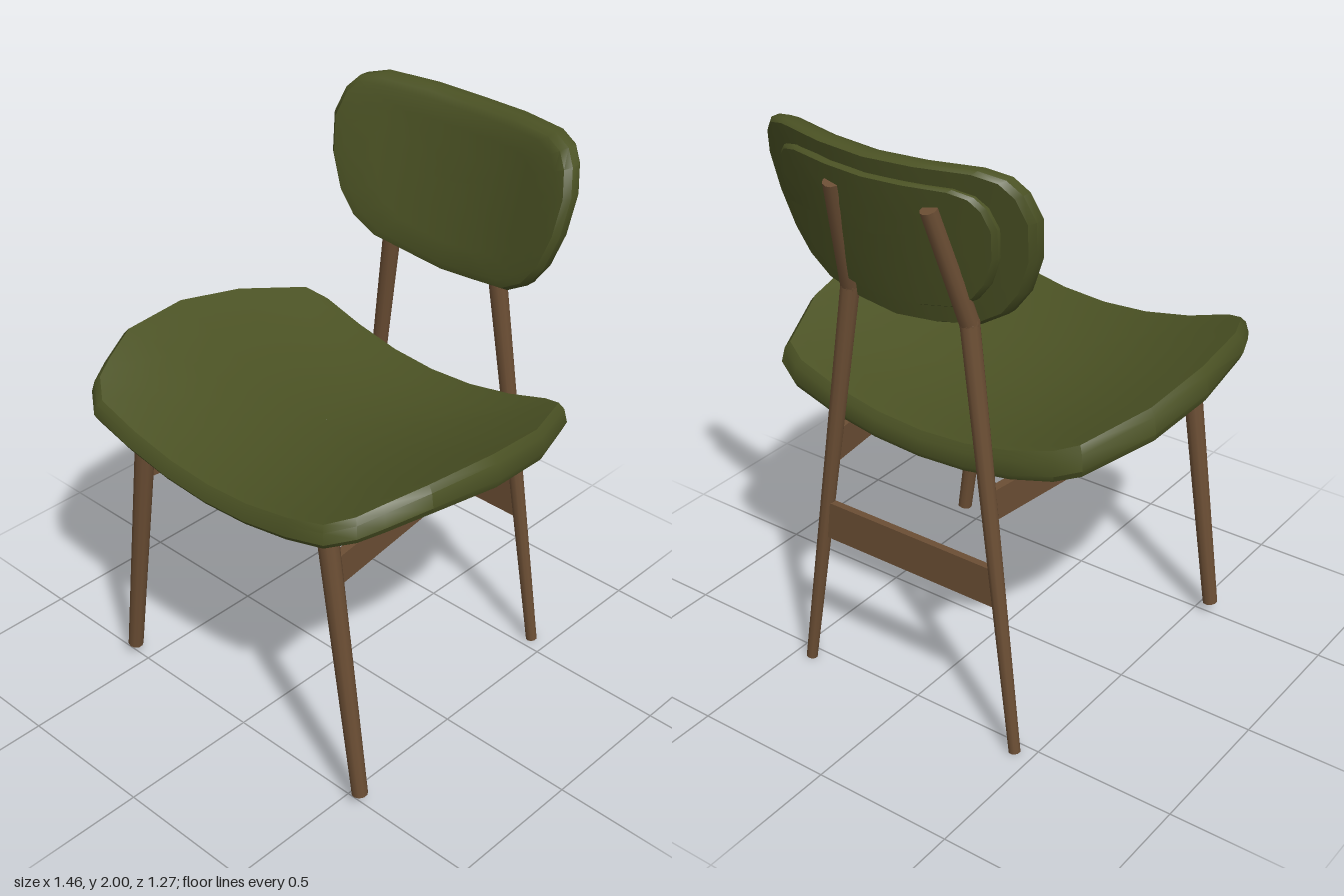
import * as THREE from 'three';
import { toCreasedNormals } from 'three/addons/utils/BufferGeometryUtils.js';

const { smoothstep, lerp } = THREE.MathUtils;
const V = (x, y, z) => new THREE.Vector3(x, y, z);

export function createModel() {
  const model = new THREE.Group();
  model.name = 'chair';
  const fabric = new THREE.MeshStandardMaterial({ color: 0x4b5224 });
  fabric.name = 'olive fabric';
  const wood = new THREE.MeshStandardMaterial({ color: 0x6b4e34 });
  wood.name = 'brown wood';

  const add = (name, geometry, material, parent = model) => {
    const mesh = new THREE.Mesh(geometry, material);
    mesh.name = name;
    parent.add(mesh);
    return mesh;
  };

  // Closed cushion: scaled copies of a mirrored outline, each at a depth t, bent by a rule
  const cushion = (half, centreB, rings, bend) => {
    const outline = [...half, ...half.slice(1, -1).reverse().map(([a, b]) => [-a, b])];
    const n = outline.length, pos = [], index = [];
    rings.forEach(([s, t], i) => {
      outline.forEach(([a, b], j) => {
        pos.push(...bend(a * s, centreB + (b - centreB) * s, t));
        if (i === rings.length - 1) return;
        const k = (j + 1) % n;
        const p = i * n + j, q = p + n, r = (i + 1) * n + k, u = i * n + k;
        index.push(p, q, r, p, r, u);
      });
    });
    const g = new THREE.BufferGeometry();
    g.setAttribute('position', new THREE.Float32BufferAttribute(pos, 3));
    g.setIndex(index);
    return toCreasedNormals(g, 0.65);
  };

  // Seat: saddle curve, rising at both sides and dipping toward the back
  const seatHalf = [[0, -0.63], [0.18, -0.63], [0.36, -0.63], [0.52, -0.63], [0.6, -0.57],
    [0.64, -0.49], [0.7, -0.35], [0.73, -0.08], [0.7, 0.18], [0.6, 0.43], [0.52, 0.465],
    [0.36, 0.47], [0.18, 0.47], [0, 0.47]];
  const seatRings = [[0.001, 0], [0.25, 0], [0.5, 0], [0.75, 0], [0.9, 0], [0.96, 0.02],
    [0.985, 0.3], [1, 0.8], [0.985, 1], [0.9, 1], [0.6, 1], [0.3, 1], [0.001, 1]];
  add('seat', cushion(seatHalf, -0.08, seatRings, (x, b, t) => {
    const z = -b;
    const top = 1.02 + 0.05 * smoothstep(z, -0.3, 0.35) - 0.015 * smoothstep(z, 0.4, 0.63) + 0.38 * x * x;
    const bottom = 0.93 + 0.06 * smoothstep(z, -0.1, 0.33) + 0.33 * x * x;
    return [x, lerp(top, bottom, t), z];
  }), fabric);

  // Backrest: wraps forward at the sides and leans back
  const backHalf = [[0, 1.425], [0.15, 1.44], [0.29, 1.465], [0.38, 1.52], [0.44, 1.6],
    [0.485, 1.72], [0.5, 1.85], [0.475, 1.935], [0.435, 1.98], [0.36, 2], [0.18, 1.995], [0, 1.99]];
  const backRings = [[0.001, 0], [0.35, 0], [0.65, 0], [0.88, 0], [0.96, 0.12], [1, 0.4],
    [1, 0.8], [0.97, 1], [0.65, 1], [0.35, 1], [0.001, 1]];
  const backBend = (front, depth) => (u, y, t) =>
    [u + 0.045, y, front - 0.24 * (y - 1.45) + 0.43 * u * u - depth * t];
  add('backrest', cushion(backHalf, 1.73, backRings, backBend(-0.415, 0.085)), fabric);
  const padHalf = backHalf.map(([u, y]) => [u * 0.81, 1.73 + (y - 1.73) * 0.77]);
  add('backrestRearPad', cushion(padHalf, 1.73, backRings, backBend(-0.46, 0.062)), fabric);

  // Tapered round bar between two points
  const bar = (name, from, to, r0, r1, parent) => {
    const dir = to.clone().sub(from);
    const mesh = add(name, new THREE.CylinderGeometry(r1, r0, dir.length(), 10), wood, parent);
    mesh.position.copy(from).add(to).multiplyScalar(0.5);
    mesh.quaternion.setFromUnitVectors(V(0, 1, 0), dir.normalize());
  };

  for (const [side, s] of [['left', 1], ['right', -1]]) {
    bar(side + 'FrontLeg', V(s * 0.557, 0.045, 0.505), V(s * 0.407, 1.08, 0.505), 0.027, 0.035);

    // Back leg bends behind the backrest
    const leg = new THREE.Group();
    leg.name = side + 'BackLeg';
    model.add(leg);
    const bend = V(s * 0.23, 1.48, -0.49);
    bar('lowerBackLeg', V(s * 0.437, 0.005, -0.545), bend, 0.02, 0.032, leg);
    bar('upperBackLeg', bend, V(s * 0.18, 1.87, -0.61), 0.032, 0.028, leg);
    add('backLegBend', new THREE.SphereGeometry(0.032, 10, 8), wood, leg).position.copy(bend);

    // Side rail joins front and back legs
    const a = V(s * 0.437, 0.885, 0.5), b = V(s * 0.313, 0.885, -0.51);
    const rail = add(side + 'SideRail', new THREE.BoxGeometry(0.03, 0.11, a.distanceTo(b)), wood);
    rail.position.copy(a).add(b).multiplyScalar(0.5);
    rail.rotation.y = Math.atan2(a.x - b.x, a.z - b.z);
  }

  // Crossbar between the back legs
  add('backCrossbar', new THREE.BoxGeometry(0.69, 0.14, 0.025), wood).position.set(0, 0.6, -0.522);

  return model;
}
